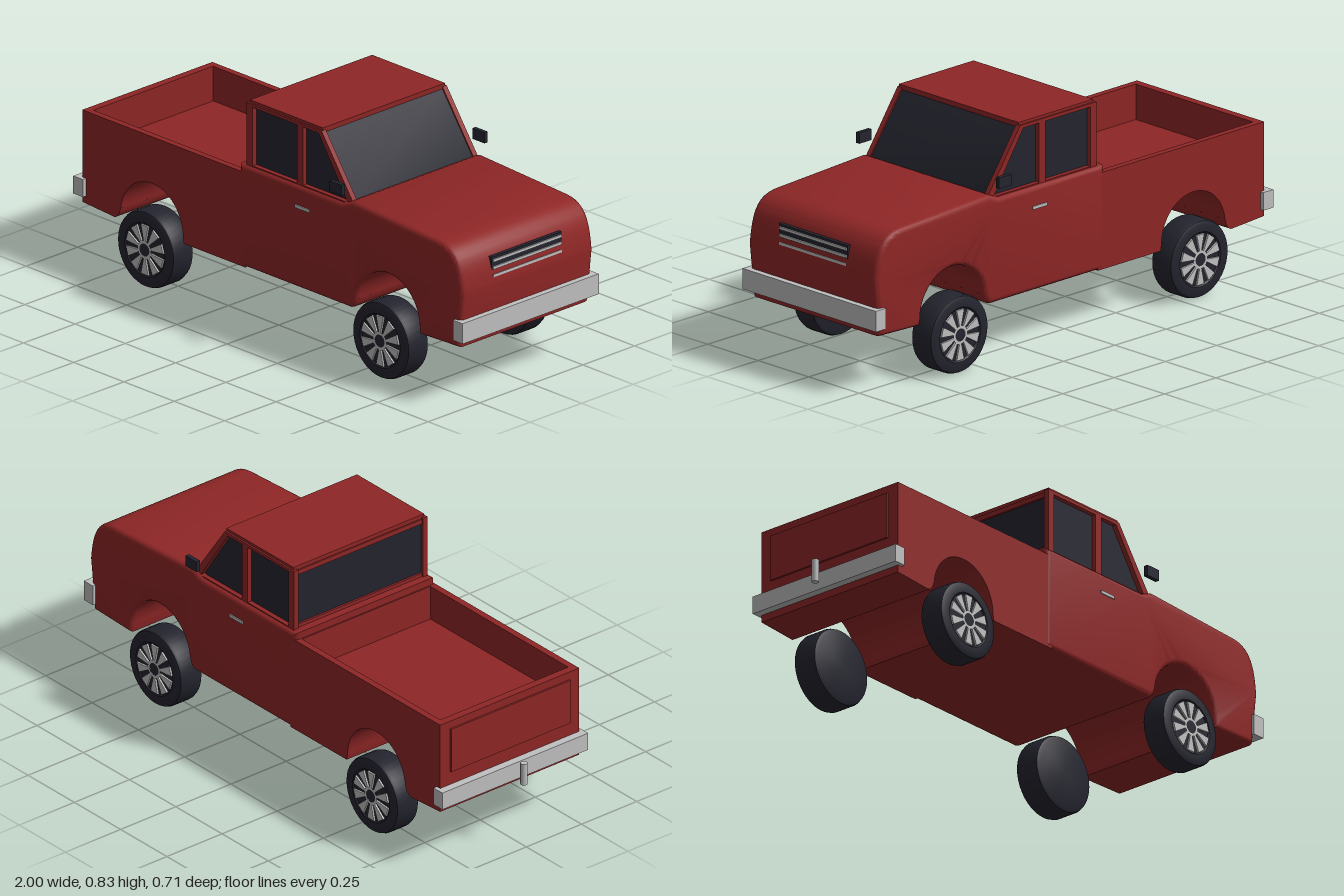
import * as THREE from 'three';
import { toCreasedNormals } from 'three/addons/utils/BufferGeometryUtils.js';

const mat = (name, color) => {
  const m = new THREE.MeshStandardMaterial({ color });
  m.name = name;
  return m;
};

export function createModel() {
  const red = mat('red paint', 0x8f2626);
  const dark = mat('dark glass and rubber', 0x24242f);
  const metal = mat('bright metal', 0xc0c0c0);
  const truck = new THREE.Group();
  truck.name = 'pickupTruck';

  const add = (name, geometry, material, x = 0, y = 0, z = 0, parent = truck) => {
    const mesh = new THREE.Mesh(geometry, material);
    mesh.name = name;
    mesh.position.set(x, y, z);
    parent.add(mesh);
    return mesh;
  };
  // Box given by its limits on each axis
  const box = (name, material, [x0, x1], [y0, y1], [z0, z1], parent) =>
    add(name, new THREE.BoxGeometry(x1 - x0, y1 - y0, z1 - z0), material,
      (x0 + x1) / 2, (y0 + y1) / 2, (z0 + z1) / 2, parent);
  // Side profile extruded across z and centred, with optional rounded edges
  const extrude = (shape, width, bevel = 0) => {
    const g = new THREE.ExtrudeGeometry(shape, {
      depth: width - 2 * bevel, curveSegments: 20, bevelEnabled: bevel > 0,
      bevelSize: bevel, bevelThickness: bevel, bevelOffset: -bevel, bevelSegments: 4,
    });
    g.translate(0, 0, -(width - 2 * bevel) / 2);
    return toCreasedNormals(g, 0.6);
  };
  const polygon = (points) => new THREE.Shape(points.map(([x, y]) => new THREE.Vector2(x, y)));
  // Wheel arch cut into the lower edge of a profile
  const arch = (shape, cx) => {
    shape.lineTo(cx - 0.185, 0.205);
    shape.quadraticCurveTo(cx - 0.163, 0.21, cx - 0.155, 0.245);
    shape.absarc(cx, 0.23, 0.155, Math.PI - 0.1, 0, true);
    shape.lineTo(cx + 0.16, 0.205);
  };

  // Front body: doors, wings and hood
  const nose = new THREE.Shape();
  nose.moveTo(-0.13, 0.205);
  arch(nose, 0.605);
  nose.lineTo(0.962, 0.212);
  nose.lineTo(0.985, 0.41);
  nose.bezierCurveTo(0.975, 0.51, 0.955, 0.578, 0.86, 0.586);
  nose.lineTo(0.43, 0.607);
  nose.lineTo(0.38, 0.587);
  nose.lineTo(-0.13, 0.587);
  nose.closePath();
  add('frontBody', extrude(nose, 0.636, 0.02), red);

  // Cargo bed: floor block, side walls and tailgate
  const bed = new THREE.Shape();
  bed.moveTo(-0.91, 0.215);
  arch(bed, -0.565);
  bed.lineTo(-0.1, 0.205);
  bed.lineTo(-0.1, 0.43);
  bed.lineTo(-0.91, 0.43);
  bed.closePath();
  add('bedLower', extrude(bed, 0.63), red);
  for (const s of [-1, 1]) {
    const wall = box('bedSide', red, [-0.91, -0.11], [0.43, 0.56], [-0.0125, 0.0125]);
    wall.position.z = s * 0.3025;
  }
  box('bedTail', red, [-0.91, -0.88], [0.43, 0.56], [-0.29, 0.29]);
  box('bedFrontWall', red, [-0.135, -0.11], [0.43, 0.56], [-0.29, 0.29]);
  box('tailgatePanel', red, [-0.917, -0.909], [0.36, 0.53], [-0.27, 0.27]);

  // Cab: glass core, pillared side frames and roof
  add('cabGlass', extrude(polygon(
    [[-0.092, 0.575], [0.425, 0.575], [0.418, 0.6], [0.264, 0.815], [-0.092, 0.815]]), 0.57), dark);
  const frame = polygon([[-0.105, 0.575], [0.436, 0.575], [0.42, 0.605], [0.268, 0.82], [-0.105, 0.82]]);
  frame.holes.push(
    polygon([[-0.075, 0.59], [-0.075, 0.808], [0.145, 0.808], [0.145, 0.59]]),
    polygon([[0.175, 0.59], [0.175, 0.808], [0.252, 0.808], [0.398, 0.59]]));
  const frameGeometry = extrude(frame, 0.02);
  for (const s of [-1, 1]) add('cabSideFrame', frameGeometry, red, 0, 0, s * 0.293);
  box('roof', red, [-0.095, 0.268], [0.812, 0.83], [-0.296, 0.296]);
  box('rearWindowHeader', red, [-0.1, -0.09], [0.797, 0.815], [-0.285, 0.285]);
  box('rearWindowSill', red, [-0.1, -0.09], [0.58, 0.6], [-0.285, 0.285]);

  // Mirrors and door handles
  for (const s of [-1, 1]) {
    const mirror = box('mirror', dark, [0.36, 0.42], [0.636, 0.676], [-0.008, 0.008]);
    mirror.position.z = s * 0.346;
    const handle = box('doorHandle', metal, [0.153, 0.223], [0.506, 0.517], [-0.003, 0.003]);
    handle.position.z = s * 0.319;
  }

  // Grille with three bars
  box('grille', dark, [0.94, 0.977], [0.455, 0.516], [-0.17, 0.17]);
  for (const y of [0.502, 0.475, 0.446])
    box('grilleBar', metal, [0.95, 0.982], [y - 0.005, y + 0.005], [-0.166, 0.166]);

  // Bumpers and tow pin
  box('frontBumper', metal, [0.948, 0.997], [0.242, 0.318], [-0.33, 0.33]);
  box('rearBumper', metal, [-0.94, -0.892], [0.242, 0.308], [-0.33, 0.33]);
  add('towPin', new THREE.CylinderGeometry(0.013, 0.013, 0.084, 16), metal, -0.987, 0.288, 0);

  // Wheels: tyre along z with tapered spokes on the outer face
  const tyreProfile = [[0, -0.0515], [0.125, -0.0515], [0.138, -0.046], [0.142, -0.036],
    [0.142, 0.036], [0.138, 0.046], [0.125, 0.0515], [0.1, 0.0515], [0.094, 0.046], [0, 0.046]];
  const tyre = toCreasedNormals(new THREE.LatheGeometry(
    tyreProfile.map(([r, y]) => new THREE.Vector2(r, y)), 40).rotateX(Math.PI / 2), 0.6);
  const spoke = extrude(polygon([[0.03, -0.004], [0.092, -0.018], [0.092, 0.018], [0.03, 0.004]]), 0.008);
  const hubRing = new THREE.RingGeometry(0.022, 0.034, 30);
  for (const x of [-0.57, 0.6]) for (const s of [-1, 1]) {
    const wheel = new THREE.Group();
    wheel.name = 'wheel';
    wheel.position.set(x, 0.142, s * 0.2925);
    if (s < 0) wheel.rotation.y = Math.PI;
    add('tyre', tyre, dark, 0, 0, 0, wheel);
    add('hubRing', hubRing, metal, 0, 0, 0.053, wheel);
    for (let i = 0; i < 10; i++)
      add('spoke', spoke, metal, 0, 0, 0.049, wheel).rotation.z = (i + 0.5) * Math.PI / 5;
    truck.add(wheel);
  }
  return truck;
}
